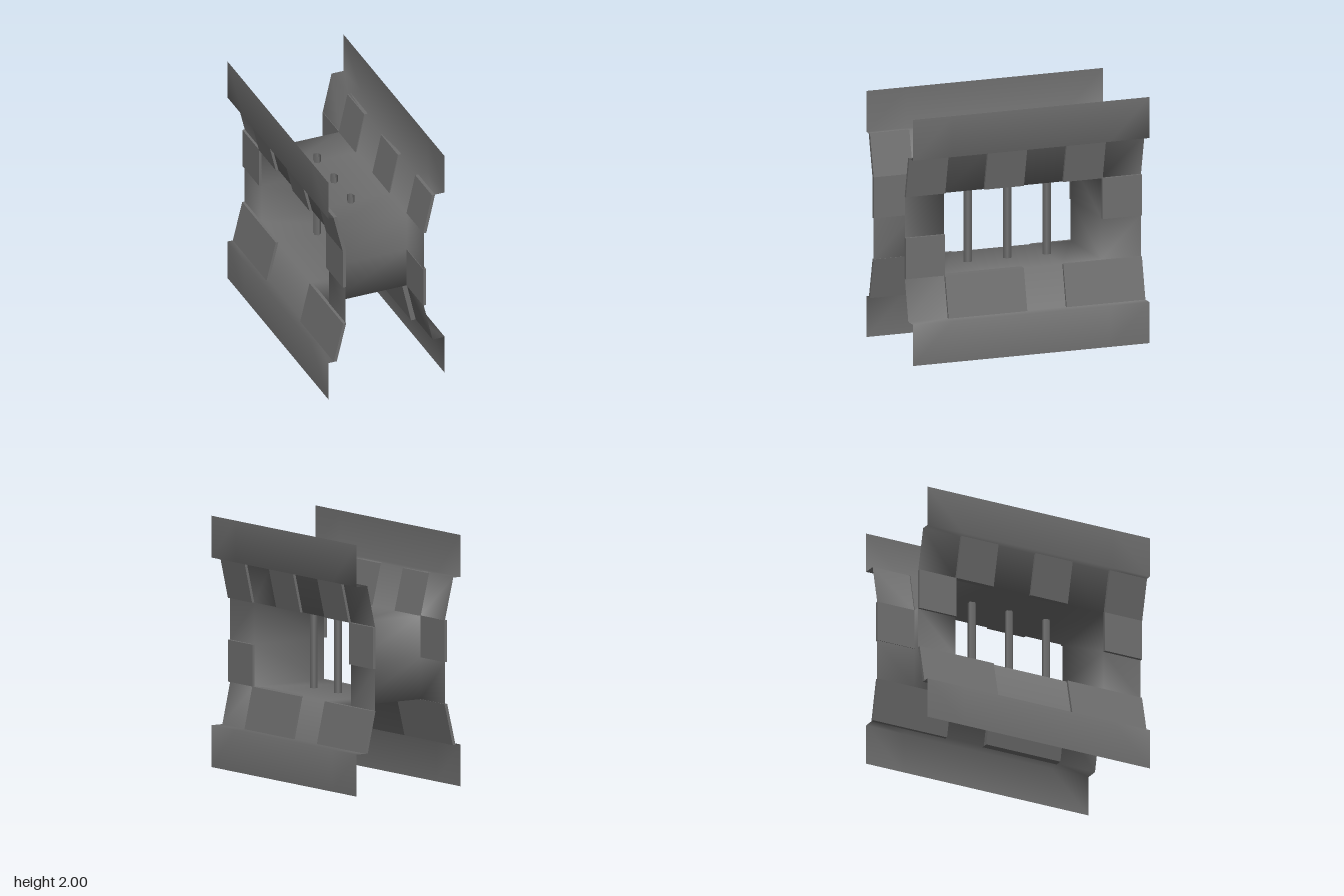
import * as THREE from 'three';
import { mergeGeometries, mergeVertices } from 'three/addons/utils/BufferGeometryUtils.js';

const T = 1 / 3;
const material = new THREE.MeshStandardMaterial({ color: 0x707070, side: THREE.DoubleSide });

// Surface through rows of [x, y, z] points
function loft(rows, flip = false) {
  const n = rows[0].length, idx = [];
  for (let j = 0; j < rows.length - 1; j++) {
    for (let i = 0; i < n - 1; i++) {
      const a = j * n + i, b = a + n;
      idx.push(a, a + 1, b, a + 1, b + 1, b);
    }
  }
  if (flip) idx.reverse();
  const geo = new THREE.BufferGeometry();
  geo.setAttribute('position', new THREE.Float32BufferAttribute(rows.flat(2), 3));
  geo.setIndex(idx);
  return geo;
}

// Profile of [x, y] points swept along z in steps of T
function sweep(sign, profile, z0, steps) {
  const rows = Array.from({ length: steps + 1 }, (_, j) => profile.map(([x, y]) => [sign * x, y, z0 + j * T]));
  return loft(rows, sign < 0);
}

// Wall distance from the centre at a given height
function wallX({ core, rim }, y) {
  return core + (rim - core) * Math.max(0, Math.abs(y - 1) - T) / T;
}

// Stone: a box whose vertices follow the slope of the wall
function stone(wall, [z0, z1], [y0, y1], outer, inner) {
  const geo = new THREE.BoxGeometry(1, y1 - y0, z1 - z0);
  geo.translate(0, (y0 + y1) / 2, (z0 + z1) / 2);
  const p = geo.attributes.position;
  for (let i = 0; i < p.count; i++) {
    const offset = p.getX(i) > 0 ? outer : -inner;
    p.setX(i, wall.sign * (wallX(wall, p.getY(i)) + offset));
  }
  if (wall.sign < 0) geo.index.array.reverse();
  geo.computeVertexNormals();
  return geo;
}

const LOW = [T, 2 * T], MID_LOW = [2 * T, 1], MID_HIGH = [1, 4 * T], HIGH = [4 * T, 5 * T];

// Stones: z range, y range, depth outside and inside the wall
const walls = [
  {
    name: 'leftStones', sign: 1, core: 0.32, rim: 0.395,
    stones: [
      [[2 * T, 1], HIGH, 0.022, 0.004], [[0, T], HIGH, 0.022, 0.008], [[-2 * T, -T], HIGH, 0.022, 0.008],
      [[0, 2 * T], LOW, 0.02, 0.04], [[-1, -T], LOW, 0.02, 0.005],
      [[2 * T, 1], MID_LOW, 0.02, 0.004], [[-1, -2 * T], MID_HIGH, 0.02, 0.004],
    ],
  },
  {
    name: 'rightStones', sign: -1, core: 0.35, rim: 0.43,
    stones: [
      [[2 * T, 1], HIGH, 0.025, 0.004], [[0, T], HIGH, 0.022, 0.02], [[-2 * T, -T], HIGH, 0.022, 0.02],
      [[T, 1], LOW, 0.022, 0.004], [[-1, -T], LOW, 0.022, 0.004],
      [[2 * T, 1], MID_HIGH, 0.025, 0.004], [[-1, -2 * T], MID_HIGH, 0.02, 0.004],
    ],
  },
];

export function createModel() {
  const group = new THREE.Group();
  const add = (geo, name, parent = group) => {
    const mesh = new THREE.Mesh(geo, material);
    mesh.name = name;
    parent.add(mesh);
    return mesh;
  };

  const patches = [];
  for (const wall of walls) {
    const { sign, core, rim } = wall;

    // Rail, ledge and sloped panel below and above the window
    patches.push(sweep(sign, [[0.5, 0], [0.5, T], [rim, T], [core, 2 * T]], -1, 6));
    patches.push(sweep(sign, [[core, 4 * T], [rim, 5 * T], [0.5, 5 * T], [0.5, 2]], -1, 6));

    // Upright panels beside the window
    for (const z of [-1, 2 * T]) patches.push(sweep(sign, [[core, 2 * T], [core, 1], [core, 4 * T]], z, 1));

    // Raised stones
    const stones = new THREE.Group();
    stones.name = wall.name;
    group.add(stones);
    for (const s of wall.stones) add(stone(wall, ...s), 'stone', stones);
  }

  // Window lining between the walls: lintel, front jamb, sill, back jamb
  const loop = [];
  for (let i = -2; i < 2; i++) loop.push([4 * T, i * T]);
  for (let i = 4; i > 2; i--) loop.push([i * T, 2 * T]);
  for (let i = 2; i > -2; i--) loop.push([2 * T, i * T]);
  for (let i = 2; i <= 4; i++) loop.push([i * T, -2 * T]);
  const [left, right] = walls;
  patches.push(loft(loop.map(([y, z]) => [[-right.core, y, z], [left.core, y, z]])));

  // Walls and lining share one smoothly shaded shell
  const shell = mergeVertices(mergeGeometries(patches));
  shell.computeVertexNormals();
  add(shell, 'wallShell');

  // Upright window bars, open at the ends
  for (const z of [-T, 0, T]) {
    const bar = add(new THREE.CylinderGeometry(0.036, 0.036, 0.77, 5, 1, true), 'windowBar');
    bar.scale.x = 0.85;
    bar.position.set(-0.018, 1.005, z);
  }
  return group;
}
